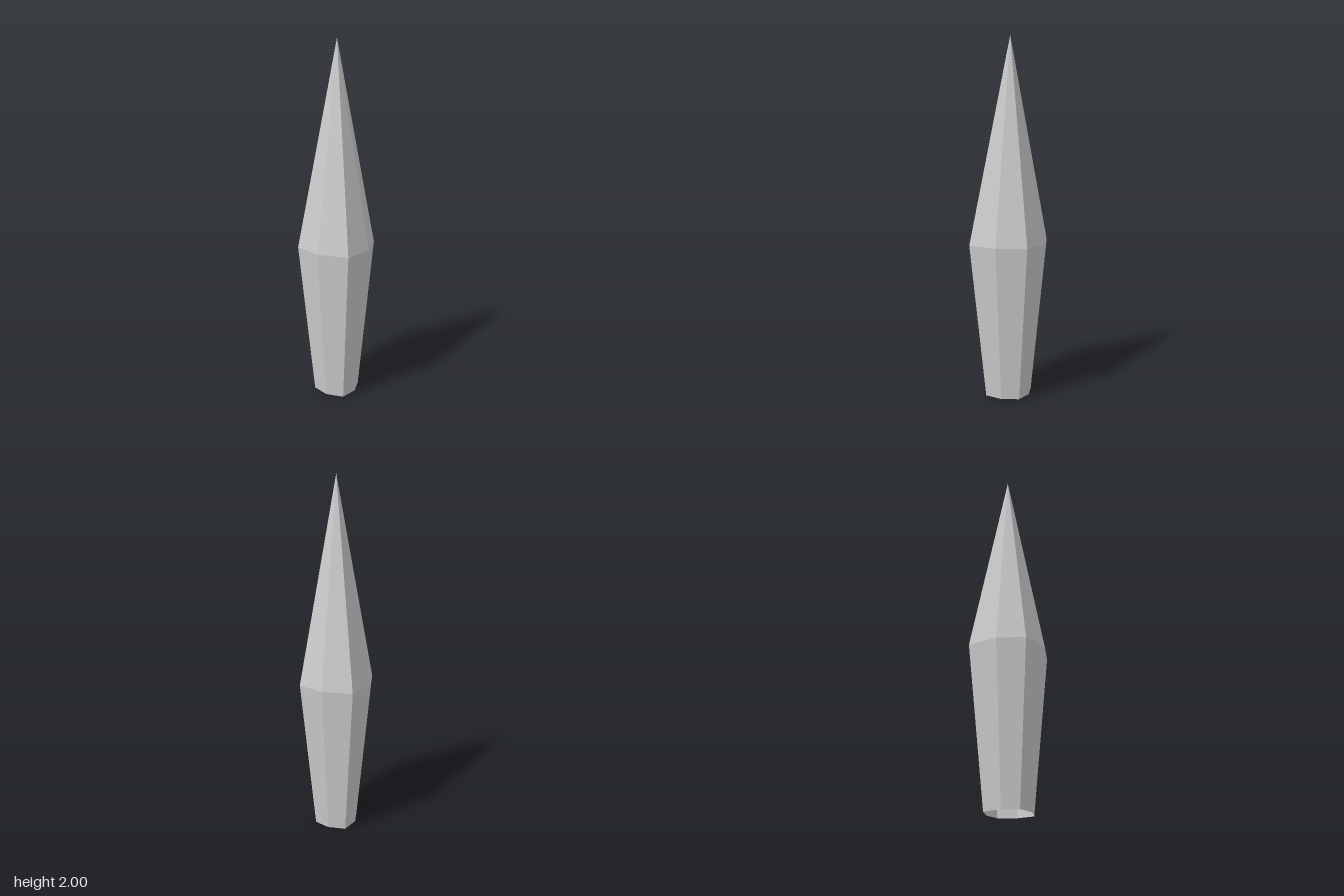
import * as THREE from 'three';

// Eight-sided outline of the widest ring, as [x, z], running from front towards +x
const OUTLINE = [
  [0.003, 0.237], [0.144, 0.144], [0.219, -0.008], [0.144, -0.146],
  [0.003, -0.238], [-0.144, -0.146], [-0.219, -0.008], [-0.144, 0.144],
];
const APEX = [0.003, 2, -0.008];

const ring = (y, scale) => OUTLINE.map(([x, z]) => [x * scale, y, z * scale]);

function makeMesh(name, triangles) {
  const geometry = new THREE.BufferGeometry();
  geometry.setAttribute('position', new THREE.Float32BufferAttribute(triangles.flat(), 3));
  geometry.computeVertexNormals();
  const material = new THREE.MeshStandardMaterial({
    color: 0xcccccc, flatShading: true, side: THREE.DoubleSide,
  });
  const mesh = new THREE.Mesh(geometry, material);
  mesh.name = name;
  return mesh;
}

export function createModel() {
  const base = ring(0, 0.595);
  const waist = ring(0.875, 1);
  const shaft = [];
  const tip = [];
  for (let i = 0; i < OUTLINE.length; i++) {
    const j = (i + 1) % OUTLINE.length;
    shaft.push(base[i], base[j], waist[j], base[i], waist[j], waist[i]);
    tip.push(waist[i], waist[j], APEX);
  }

  const group = new THREE.Group();
  group.name = 'crystalSpike';
  // Tapered lower shell, open underneath, and the long pointed top
  group.add(makeMesh('lowerShaft', shaft), makeMesh('pointedTip', tip));
  return group;
}
